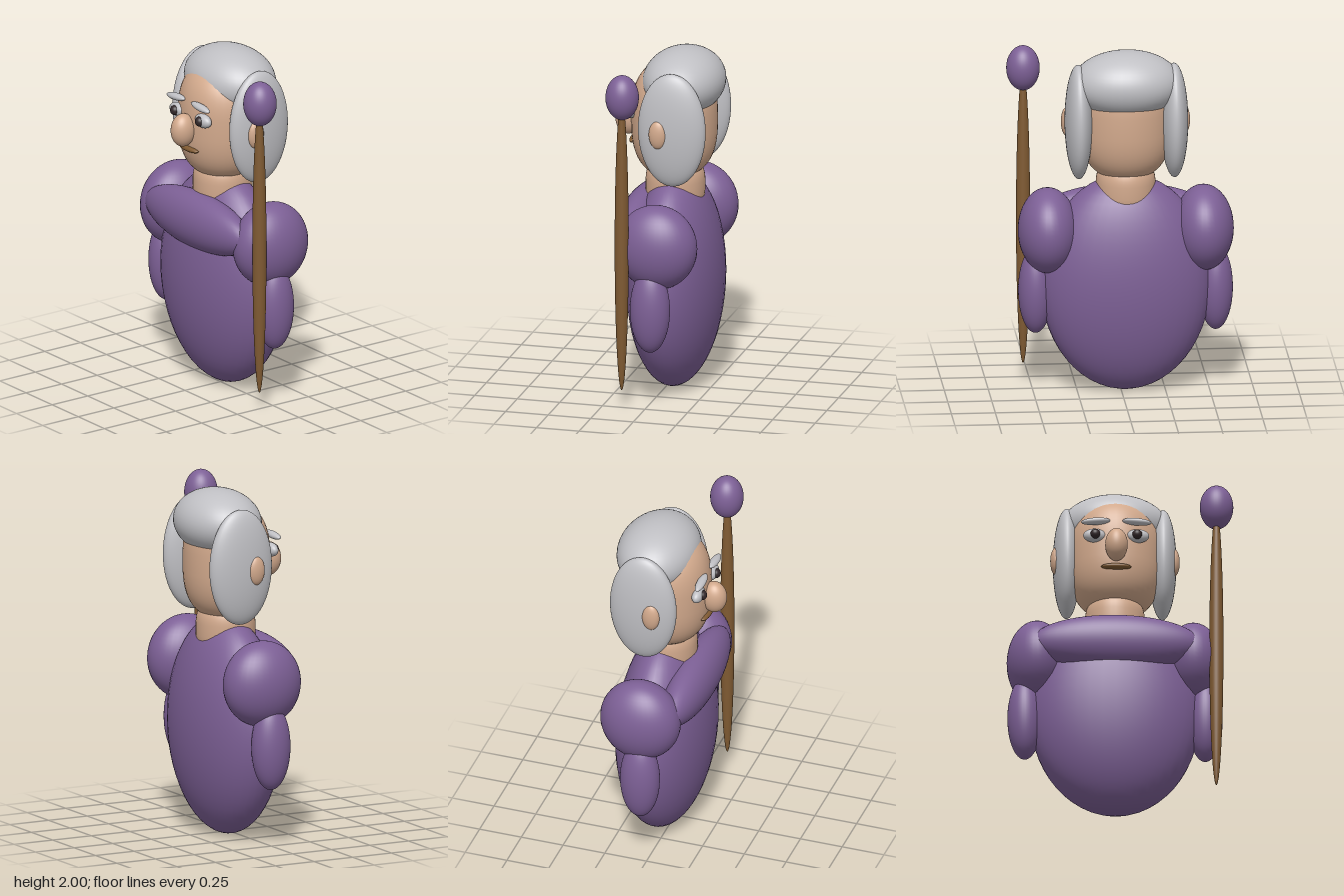
import * as THREE from 'three';

const mat = (name, color) => {
  const m = new THREE.MeshStandardMaterial({ color });
  m.name = name;
  return m;
};

export function createModel() {
  const group = new THREE.Group();
  const purple = mat('robe purple', 0x7d6096);
  const skin = mat('skin', 0xd2a98c);
  const grey = mat('hair grey', 0xc0c0c4);
  const brown = mat('wood brown', 0x7f5a32);
  const dark = mat('pupil dark', 0x33282a);
  const MID = -0.028; // symmetry plane of the figure

  const sphere = new THREE.SphereGeometry(1, 40, 28);

  // Unit barrel: round from above, superellipse with exponent p from the side
  const barrel = (p) => {
    const pts = [];
    for (let i = 0; i <= 32; i++) {
      const a = -Math.PI / 2 + (Math.PI * i) / 32;
      const c = Math.max(0, Math.cos(a)), s = Math.sin(a);
      pts.push(new THREE.Vector2(c ** (2 / p), Math.sign(s) * Math.abs(s) ** (2 / p)));
    }
    return new THREE.LatheGeometry(pts, 40);
  };

  const add = (name, material, pos, radii, geometry = sphere, tilt = 0) => {
    const m = new THREE.Mesh(geometry, material);
    m.name = name;
    m.position.set(...pos);
    m.scale.set(...radii);
    m.rotation.z = tilt;
    group.add(m);
  };

  // Mirrored pair about the figure's own middle
  const pair = (name, material, [dx, y, z], radii, tilt = 0) => {
    add(name + 'Left', material, [MID + dx, y, z], radii, sphere, tilt);
    add(name + 'Right', material, [MID - dx, y, z], radii, sphere, -tilt);
  };

  // Robe and arms
  add('body', purple, [MID, 0.635, -0.04], [0.485, 0.63, 0.262]);
  add('chestFold', purple, [MID, 0.997, 0.135], [0.48, 0.165, 0.125]);
  pair('shoulder', purple, [0.443, 0.945, -0.045], [0.17, 0.245, 0.235]);
  pair('forearm', purple, [0.512, 0.59, -0.025], [0.098, 0.25, 0.115]);

  // Head and neck
  add('neck', skin, [MID, 1.19, -0.035], [0.17, 0.16, 0.17], barrel(3));
  add('head', skin, [MID, 1.58, -0.03], [0.262, 0.335, 0.245], barrel(2.7));
  pair('ear', skin, [0.335, 1.575, -0.022], [0.032, 0.083, 0.052]);

  // Hair
  add('hairCap', grey, [MID, 1.81, -0.087], [0.31, 0.19, 0.232]);
  pair('hairSide', grey, [0.272, 1.59, -0.088], [0.078, 0.332, 0.198]);

  // Face
  pair('eye', grey, [0.122, 1.64, 0.19], [0.065, 0.04, 0.034]);
  pair('pupil', dark, [0.119, 1.64, 0.212], [0.029, 0.029, 0.028]);
  pair('eyebrow', grey, [0.117, 1.722, 0.206], [0.083, 0.02, 0.026], -0.08);
  add('nose', skin, [MID, 1.562, 0.242], [0.064, 0.097, 0.075]);
  add('mouth', brown, [MID, 1.443, 0.2], [0.086, 0.018, 0.028]);

  // Staff held at the left side
  add('staff', brown, [0.542, 0.98, 0.125], [0.04, 0.86, 0.04]);
  add('staffOrb', purple, [0.543, 1.857, 0.122], [0.095, 0.13, 0.095]);

  return group;
}
